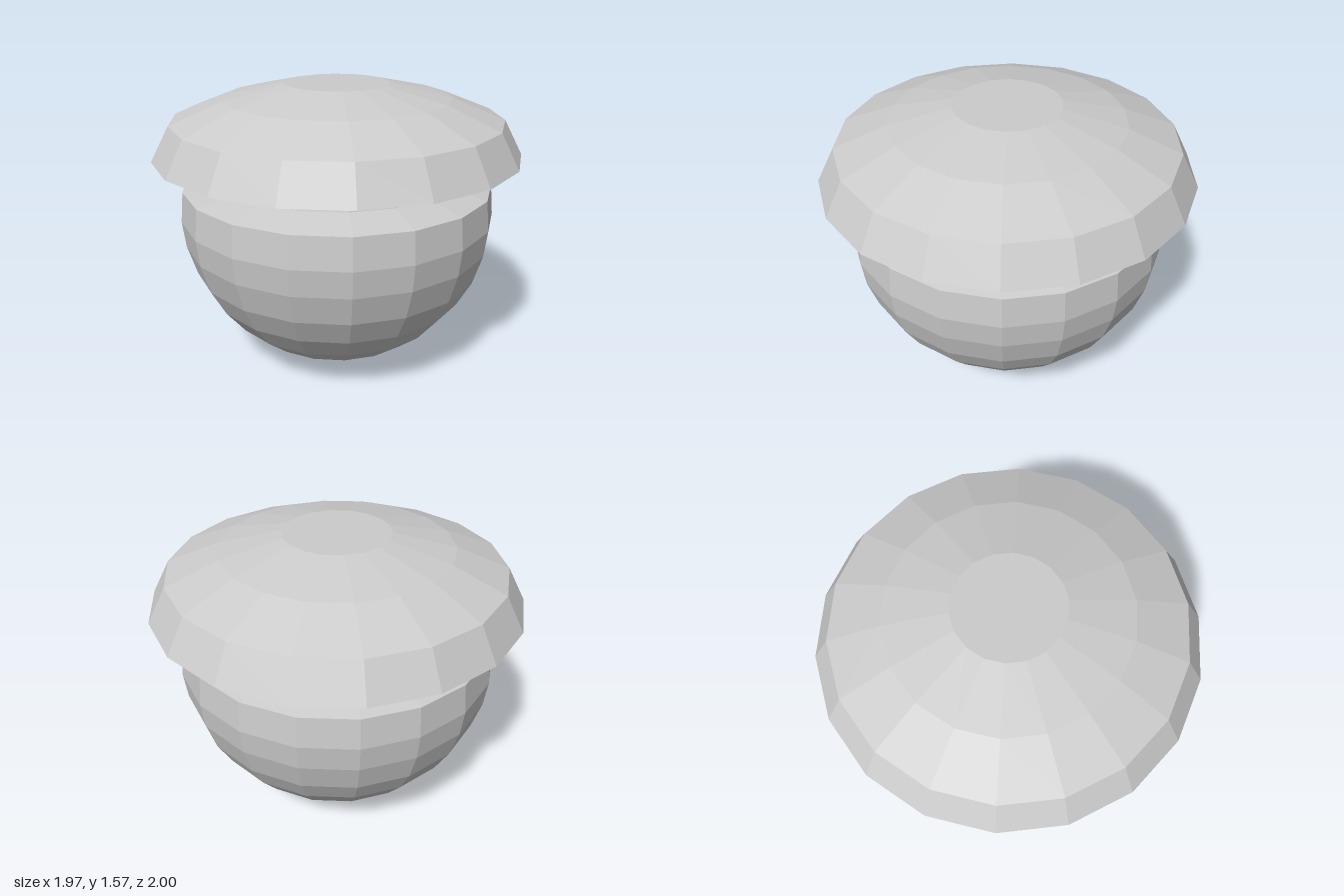
import * as THREE from 'three';

const SIDES = 18;

// Faceted turned part; profile of [radius, height] runs from bottom to top
function turned(name, profile) {
  const points = profile.map(([r, y]) => new THREE.Vector2(r, y));
  const material = new THREE.MeshStandardMaterial({ color: 0xcccccc, flatShading: true });
  const mesh = new THREE.Mesh(new THREE.LatheGeometry(points, SIDES), material);
  mesh.name = name;
  return mesh;
}

export function createModel() {
  const group = new THREE.Group();
  group.name = 'lidded bowl';

  // Round bowl: radii follow a sphere in steps of 11.25 degrees, one ring past the middle
  const heights = [0, 0.017, 0.066, 0.148, 0.258, 0.394, 0.542, 0.705, 0.85, 1.017];
  const bowl = heights.map((y, i) => [0.87 * Math.sin((i * Math.PI) / 16), y]);

  // Sloping shoulder closes the bowl up to the neck
  bowl.push([0.66, 1.065]);
  group.add(turned('bowl', bowl));

  // Tapered neck under the lid
  group.add(turned('neck', [[0.66, 1.065], [0.625, 1.195]]));

  // Overhanging lid with flat underside and flat crown
  group.add(turned('lid', [
    [0, 1.195], [1, 1.195], [0.9, 1.38], [0.62, 1.492], [0.285, 1.567], [0, 1.567],
  ]));

  return group;
}
